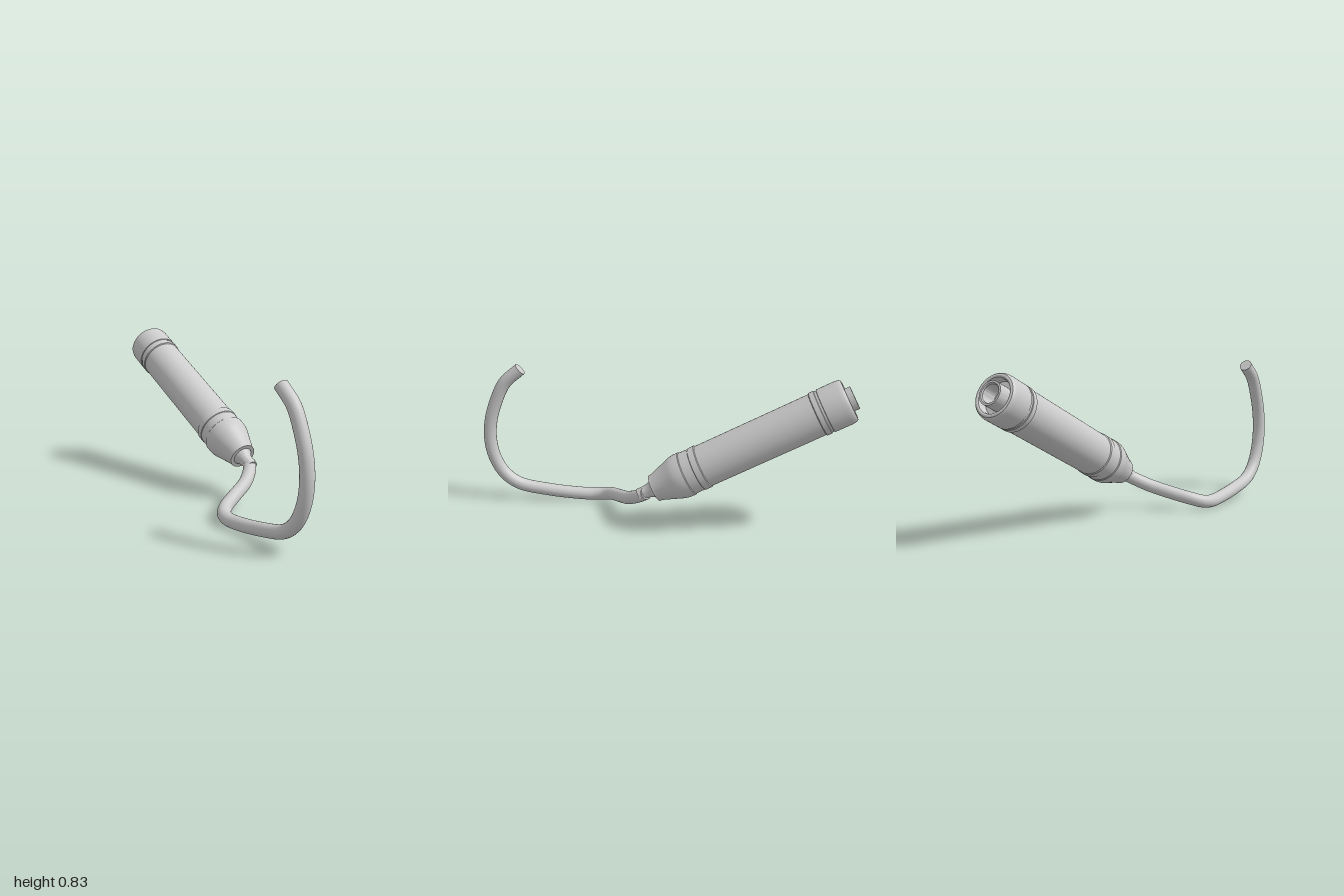
import * as THREE from 'three';
import { toCreasedNormals } from 'three/addons/utils/BufferGeometryUtils.js';

const v = (x, y, z) => new THREE.Vector3(x, y, z);

export function createModel() {
  const group = new THREE.Group();
  const grey = new THREE.MeshStandardMaterial({ color: 0xcccccc });
  grey.name = 'plain grey';

  const add = (parent, name, geometry) => {
    const mesh = new THREE.Mesh(geometry, grey);
    mesh.name = name;
    parent.add(mesh);
    return mesh;
  };
  // Profiles are [radius, distance along the handle axis]
  const lathe = (profile) => toCreasedNormals(
    new THREE.LatheGeometry(profile.map(([r, t]) => new THREE.Vector2(r, t)), 64), 0.45);

  // Handle: its local +y runs from the open butt end down to the nose
  const butt = v(-0.946, 0.736, -0.146);
  const nose = v(0.03, 0.231, -0.128);
  const handle = new THREE.Group();
  handle.name = 'handle';
  handle.position.copy(butt);
  handle.quaternion.setFromUnitVectors(v(0, 1, 0), nose.clone().sub(butt).normalize());
  group.add(handle);

  // Hollow socket, recessed cap, grip, collar rings and tapered nose
  add(handle, 'grip', lathe([
    [0, 0.06], [0.046, 0.06], [0.046, -0.022], [0.051, -0.028], [0.061, -0.028],
    [0.061, 0.05], [0.086, 0.05], [0.086, 0.012], [0.09, 0.003], [0.098, 0],
    [0.107, 0.002], [0.112, 0.008], [0.115, 0.018], [0.117, 0.035],
    [0.117, 0.13], [0.113, 0.132], [0.113, 0.144], [0.117, 0.146],
    [0.117, 0.172], [0.112, 0.176],
    [0.112, 0.813], [0.117, 0.817], [0.117, 0.85], [0.114, 0.853],
    [0.115, 0.905], [0.119, 0.909], [0.119, 0.935], [0.117, 0.955],
    [0.113, 0.972], [0.107, 0.988], [0.074, 1.085], [0.073, 1.1],
    [0.053, 1.1], [0.053, 1.07], [0, 1.07],
  ]));

  // Flared ferrule holding the rod
  add(handle, 'ferrule', lathe([
    [0.053, 1.07], [0.052, 1.1], [0.044, 1.113], [0.037, 1.13],
    [0.034, 1.15], [0.034, 1.19], [0, 1.19],
  ]));

  // Bent rod with a hooked end
  const path = new THREE.CatmullRomCurve3([
    v(0.075, 0.205, -0.138), v(0.12, 0.173, -0.105), v(0.175, 0.132, -0.035),
    v(0.235, 0.09, 0.085), v(0.283, 0.063, 0.17), v(0.326, 0.046, 0.21),
    v(0.38, 0.038, 0.227), v(0.45, 0.037, 0.228), v(0.65, 0.058, 0.228),
    v(0.815, 0.094, 0.228), v(0.895, 0.155, 0.228), v(0.945, 0.25, 0.228),
    v(0.964, 0.36, 0.228), v(0.953, 0.473, 0.228), v(0.913, 0.595, 0.228),
    v(0.865, 0.686, 0.228), v(0.777, 0.764, 0.228),
  ], false, 'centripetal');
  const rodRadius = 0.035;
  add(group, 'hookRod', new THREE.TubeGeometry(path, 140, rodRadius, 28, false));

  // Flat ends of the rod
  for (const [name, t, sign] of [['rodStartCap', 0, -1], ['rodTipCap', 1, 1]]) {
    const cap = add(group, name, new THREE.CircleGeometry(rodRadius, 28));
    cap.position.copy(path.getPointAt(t));
    cap.quaternion.setFromUnitVectors(v(0, 0, 1), path.getTangentAt(t).multiplyScalar(sign));
  }
  return group;
}
